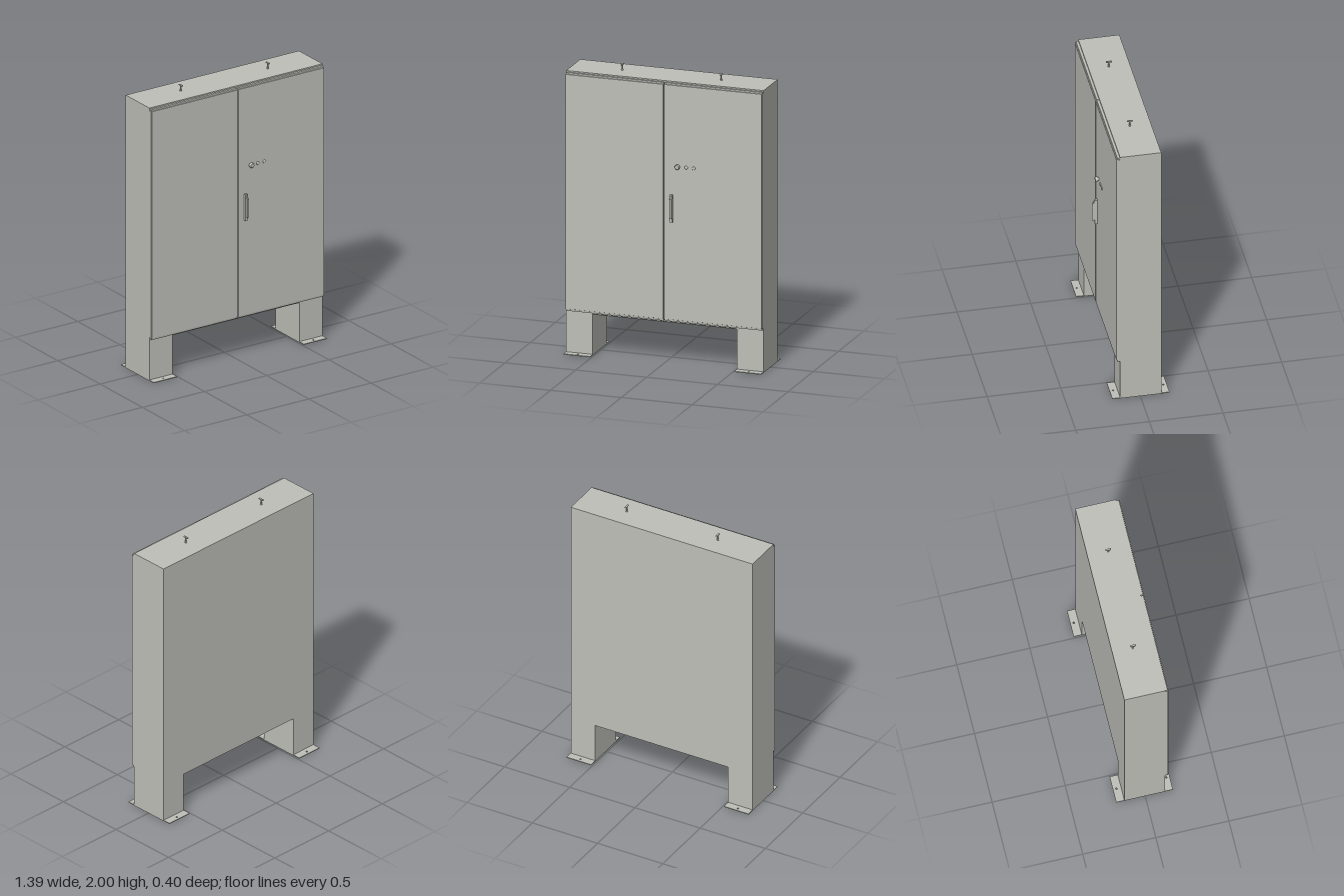
import * as THREE from 'three';

export function createModel() {
  const model = new THREE.Group();
  const paint = new THREE.MeshStandardMaterial({ color: 0xbfbfb9 });
  paint.name = 'grey paint';

  const add = (name, geometry, x = 0, y = 0, z = 0) => {
    const mesh = new THREE.Mesh(geometry, paint);
    mesh.name = name;
    mesh.position.set(x, y, z);
    model.add(mesh);
    return mesh;
  };
  const box = (name, x0, x1, y0, y1, z0, z1) =>
    add(name, new THREE.BoxGeometry(x1 - x0, y1 - y0, z1 - z0), (x0 + x1) / 2, (y0 + y1) / 2, (z0 + z1) / 2);
  const polygon = (points) => new THREE.Shape(points.map(([x, y]) => new THREE.Vector2(x, y)));
  const extrude = (shape, depth) => new THREE.ExtrudeGeometry(shape, { depth, bevelEnabled: false, curveSegments: 8 });

  const W = 0.697, LEG = 0.51, BACK = -0.142, FRONT = 0.137, DOOR = 0.161;

  // Cabinet shell and its two legs share one outline
  const outline = polygon([
    [-W, 0], [-LEG, 0], [-LEG, 0.285], [LEG, 0.285], [LEG, 0], [W, 0], [W, 1.958], [-W, 1.958],
  ]);
  add('cabinetBody', extrude(outline, FRONT - BACK), 0, 0, BACK);
  box('bottomPlate', -0.495, 0.495, 0.278, 0.286, -0.115, 0.125);

  // Doors with folded top and bottom edges
  const doorProfile = polygon([
    [FRONT, 0.296], [0.154, 0.296], [0.156, 0.309], [DOOR, 0.311],
    [DOOR, 1.938], [0.156, 1.94], [0.154, 1.949], [FRONT, 1.949],
  ]);
  for (const side of [-1, 1]) {
    const width = 0.689;
    const geometry = extrude(doorProfile, width);
    geometry.rotateY(-Math.PI / 2);
    add(side < 0 ? 'rightDoor' : 'leftDoor', geometry, side < 0 ? -0.003 : 0.003 + width);
    // Side return of the door
    const a = side * 0.691, b = side * 0.696;
    box('doorEdge', Math.min(a, b), Math.max(a, b), 0.311, 1.938, FRONT, 0.157);

    // Floor flange with two anchor holes
    const x0 = side < 0 ? -W : LEG, x1 = side < 0 ? -LEG : W;
    const foot = polygon([[x0, -0.19], [x1, -0.19], [x1, 0.198], [x0, 0.198]]);
    for (const z of [-0.174, 0.166]) {
      foot.holes.push(new THREE.Path().absarc(side * 0.604, -z, 0.006, 0, Math.PI * 2, true));
    }
    const plate = extrude(foot, 0.006);
    plate.rotateX(-Math.PI / 2);
    add('footPlate', plate);

    // Lifting bolt: shank, collar and cross bar
    const x = side * 0.35;
    add('liftingShank', new THREE.CylinderGeometry(0.005, 0.005, 0.04, 16), x, 1.976, 0);
    add('liftingCollar', new THREE.CylinderGeometry(0.008, 0.008, 0.004, 16), x, 1.96, 0);
    box('liftingBar', x - 0.006, x + 0.006, 1.994, 2, -0.019, 0.019);
  }

  // Door handle: backing plate, grip and end step
  box('handlePlate', 0.048, 0.067, 0.99, 1.18, 0.16, 0.18);
  box('handleGrip', 0.05, 0.065, 1.02, 1.155, 0.178, 0.198);
  box('handleCatch', 0.052, 0.063, 1.155, 1.17, 0.178, 0.187);

  // Rotary knob and two domed buttons, turned about z
  const turned = (name, profile, x, y) => {
    const geometry = new THREE.LatheGeometry(profile.map(([r, z]) => new THREE.Vector2(r, z)), 24);
    geometry.rotateX(Math.PI / 2);
    add(name, geometry, x, y, 0.16);
  };
  turned('knob', [
    [0.012, 0], [0.012, 0.007], [0.012, 0.007], [0.017, 0.009], [0.018, 0.014],
    [0.017, 0.022], [0.014, 0.026], [0.014, 0.026], [0, 0.026],
  ], 0.101, 1.378);
  for (const x of [0.16, 0.212]) {
    turned('button', [[0.012, 0], [0.012, 0.003], [0.009, 0.006], [0.005, 0.007], [0, 0.007]], x, 1.376);
  }
  return model;
}
